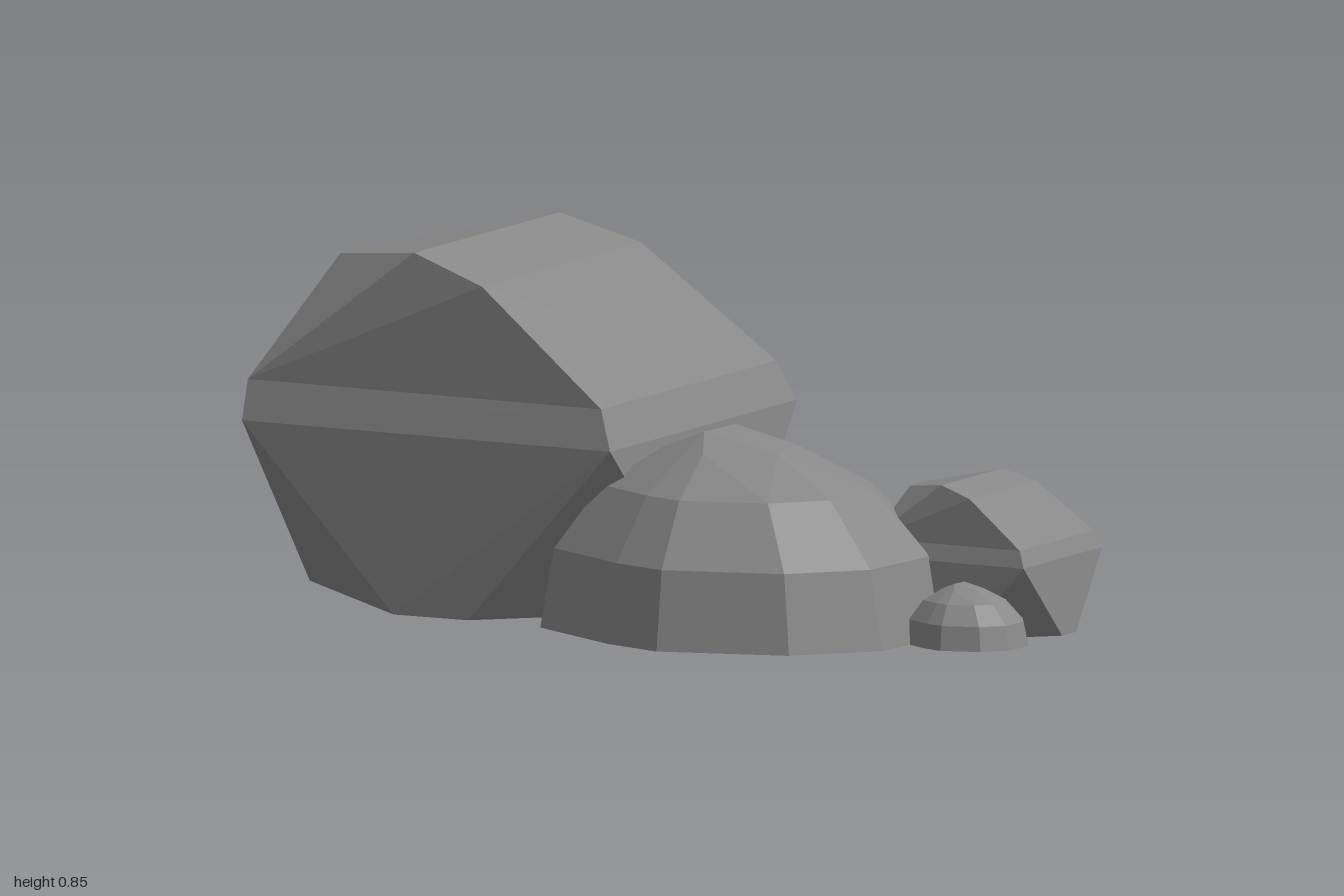
import * as THREE from 'three';
import { ConvexGeometry } from 'three/addons/geometries/ConvexGeometry.js';

const material = new THREE.MeshStandardMaterial({
  color: 0x888888, flatShading: true, side: THREE.DoubleSide,
});

// Unshared triangles, so that every facet stays flat
function facets(points) {
  const geometry = new THREE.BufferGeometry().setFromPoints(points);
  geometry.computeVertexNormals();
  return geometry;
}

// Angular boulder, mirrored front to back and open underneath
function boulderGeometry() {
  const midZ = -0.118;
  // x, y, half depth
  const rows = [
    [-1, 0, 0.085], [-0.57, 0, 0.475], [-0.37, 0, 0.475], [0.05, 0, 0.085],
    [-1, 0.43, 0.43], [0.01, 0.43, 0.475],
    [-1, 0.525, 0.4], [-0.03, 0.525, 0.445],
    [-0.92, 0.79, 0.08], [-0.57, 0.853, 0.37],
    [-0.37, 0.79, 0.405], [-0.14, 0.65, 0.09],
  ];
  const corner = (i, s) => new THREE.Vector3(rows[i][0], rows[i][1], midZ + s * rows[i][2]);
  const points = [];
  const addFace = (face) => {
    for (let k = 1; k < face.length - 1; k++) points.push(face[0], face[k], face[k + 1]);
  };

  // Front facets, and the same reversed for the back
  const sides = [
    [1, 2, 5, 4], [0, 1, 4], [2, 3, 5],
    [4, 5, 7, 6], [6, 7, 10, 9], [6, 9, 8], [7, 11, 10],
  ];
  for (const side of sides) {
    addFace(side.map((i) => corner(i, 1)));
    addFace(side.map((i) => corner(i, -1)).reverse());
  }

  // Band of facets running up the left-hand end, over the top and down again
  const band = [3, 5, 7, 11, 10, 9, 8, 6, 4, 0];
  for (let k = 0; k < band.length - 1; k++) {
    const [a, b] = [band[k], band[k + 1]];
    addFace([corner(a, 1), corner(a, -1), corner(b, -1), corner(b, 1)]);
  }
  return facets(points);
}

// Rounded stone: an irregular outline shrinking up to a short ridge, open underneath
function domeGeometry() {
  const outline = [
    [0.26, 0.595], [0.57, 0.51], [0.73, 0.34], [0.755, 0.06], [0.66, -0.11],
    [0.46, -0.24], [0.29, -0.285], [0.04, -0.25], [-0.13, -0.1],
    [-0.19, 0.12], [-0.165, 0.38], [0.1, 0.54],
  ];
  // height, scale, step along the outline
  const rings = [[0, 1, 1], [0.19, 0.925, 1], [0.34, 0.67, 1], [0.43, 0.33, 2]];
  const [cx, cz] = [0.2, 0.13];
  const points = [new THREE.Vector3(0.18, 0.47, 0.2), new THREE.Vector3(0.19, 0.47, 0.06)];
  for (const [y, s, step] of rings) {
    for (let i = 0; i < outline.length; i += step) {
      const [x, z] = outline[i];
      points.push(new THREE.Vector3(cx + (x - cx) * s, y, cz + (z - cz) * s));
    }
  }

  const hull = new ConvexGeometry(points).getAttribute('position');
  const kept = [];
  for (let i = 0; i < hull.count; i += 3) {
    const triangle = [0, 1, 2].map((k) => new THREE.Vector3().fromBufferAttribute(hull, i + k));
    if (triangle.some((p) => p.y > 1e-4)) kept.push(...triangle);
  }
  return facets(kept);
}

export function createModel() {
  const model = new THREE.Group();
  model.name = 'rockCluster';
  const boulder = boulderGeometry();
  const dome = domeGeometry();

  const addStone = (name, geometry, scale, x, z) => {
    const stone = new THREE.Mesh(geometry, material);
    stone.name = name;
    stone.scale.setScalar(scale);
    stone.position.set(x, 0, z);
    model.add(stone);
  };

  addStone('largeBoulder', boulder, 1, 0, 0);
  addStone('smallBoulder', boulder, 0.42, 0.97, -0.066);
  addStone('largeRoundStone', dome, 1, 0, 0);
  addStone('smallRoundStone', dome, 0.305, 0.77, 0.09);
  return model;
}
